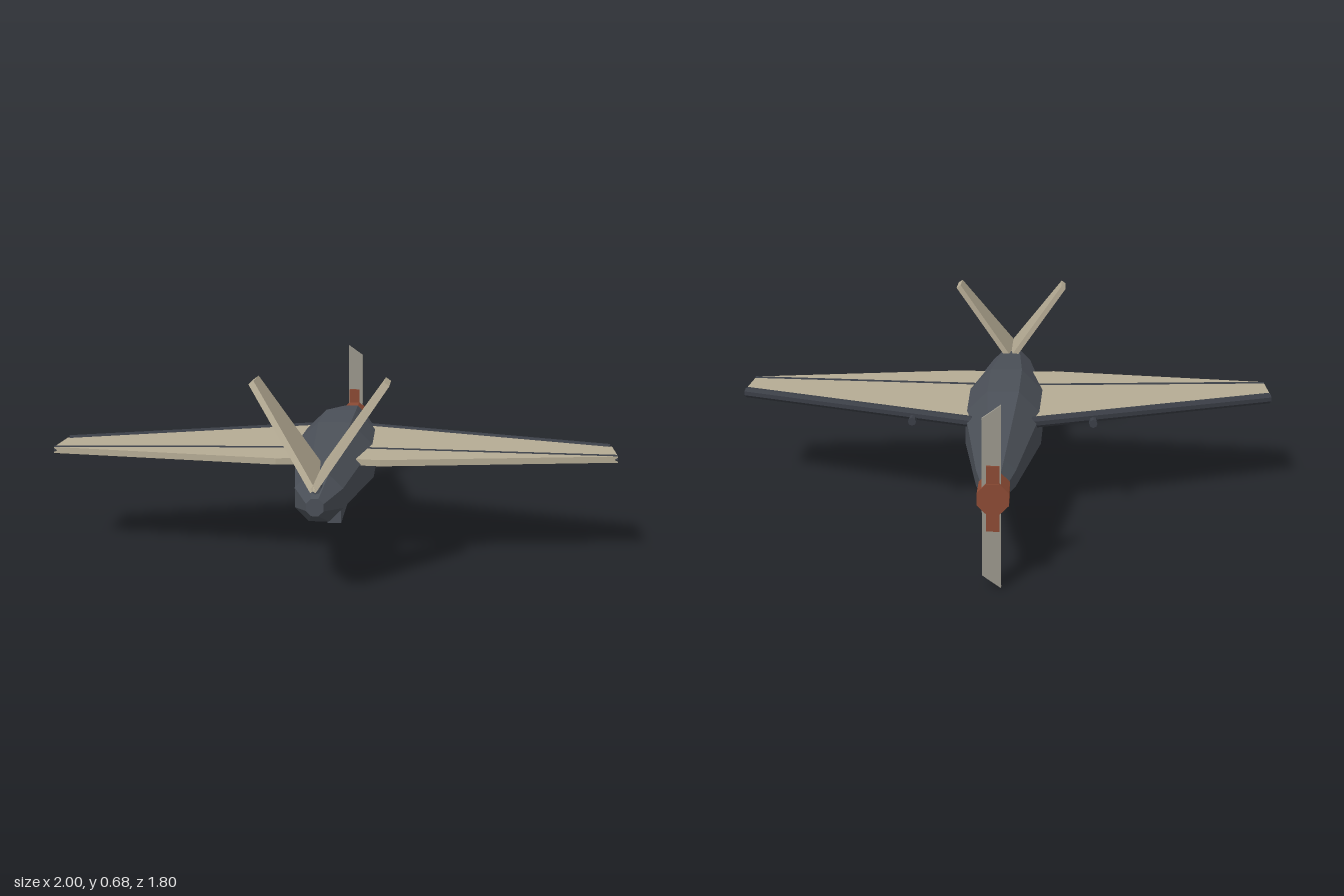
import * as THREE from 'three';

const AXIS_Y = 0.302;
const paint = (color) => new THREE.MeshStandardMaterial({ color, flatShading: true });

export function createModel() {
  const model = new THREE.Group();
  const dark = paint(0x4b5058), black = paint(0x3a3e46), tan = paint(0xb5ab94);
  const rust = paint(0x8b4a34), grey = paint(0x9a978c);

  const add = (name, geometry, material, x = 0, y = 0, z = 0) => {
    const mesh = new THREE.Mesh(geometry, material);
    mesh.name = name;
    mesh.position.set(x, y, z);
    model.add(mesh);
    return mesh;
  };

  const box = (name, w, h, d, material, x, y, z) =>
    add(name, new THREE.BoxGeometry(w, h, d), material, x, y, z);

  // Flat plate cut from an outline, centred on its thickness
  const plate = (points, depth) => {
    const shape = new THREE.Shape(points.map(([a, b]) => new THREE.Vector2(a, b)));
    return new THREE.ExtrudeGeometry(shape, { depth, bevelEnabled: false }).translate(0, 0, -depth / 2);
  };

  // Straight eight-sided rod between two points
  const rod = (name, from, to, radius, material) => {
    const a = new THREE.Vector3(...from), b = new THREE.Vector3(...to);
    const dir = b.clone().sub(a);
    const mesh = add(name, new THREE.CylinderGeometry(radius, radius, dir.length(), 8), material);
    mesh.position.copy(a).add(b).multiplyScalar(0.5);
    mesh.quaternion.setFromUnitVectors(new THREE.Vector3(0, 1, 0), dir.normalize());
    return mesh;
  };

  // Eight-sided body along z with flat top; stations are [half height, z]
  const octagonBody = (stations) => {
    const points = stations.map(([r, z]) => new THREE.Vector2(r / Math.cos(Math.PI / 8), z));
    return new THREE.LatheGeometry(points, 8, Math.PI / 8).rotateX(Math.PI / 2);
  };

  // Fuselage, belly pod and tail boom
  add('fuselage', octagonBody([
    [0, -0.82], [0.04, -0.82], [0.065, -0.7], [0.138, -0.16],
    [0.143, 0.13], [0.078, 0.71], [0.028, 0.84], [0, 0.84],
  ]), dark, 0, AXIS_Y, 0);
  box('bellyPod', 0.05, 0.13, 0.29, dark, 0, 0.135, -0.005);
  rod('tailBoom', [0, 0.357, 0.54], [0, 0.357, 0.82], 0.018, dark);

  // Spinner and propeller
  add('spinner', octagonBody([[0, -0.9], [0.05, -0.9], [0.05, -0.795], [0, -0.795]]), rust, 0, AXIS_Y, 0);
  box('propellerRoot', 0.042, 0.215, 0.028, rust, 0, AXIS_Y, -0.884);
  add('propeller', plate([[-0.025, 0], [0.035, 0.043], [0.035, 0.56], [-0.025, 0.603]], 0.012),
    grey, 0, 0, -0.885);

  for (const s of [1, -1]) {
    const side = s > 0 ? 'left' : 'right';

    // Wing outline is drawn as x, -z and laid flat
    const wing = plate([
      [0, 0.295], [s, -0.1], [s, -0.28], [s * 0.18, -0.41], [0, -0.385],
    ], 0.022).rotateX(-Math.PI / 2);
    add(side + 'Wing', wing, tan, 0, 0.355, 0);
    rod(side + 'LeadingEdge', [s * 0.09, 0.354, -0.26], [s * 0.995, 0.354, 0.095], 0.02, black);
    rod(side + 'Spar', [s * 0.09, 0.355, 0.204], [s, 0.355, 0.268], 0.015, black);
    rod(side + 'Gun', [s * 0.325, 0.342, -0.225], [s * 0.325, 0.342, 0.04], 0.015, black);

    // V-tail fin: outline is z, height along the fin
    const fin = plate([[0.575, 0], [0.897, 0], [0.71, 0.375], [0.592, 0.375]], 0.02)
      .rotateY(-Math.PI / 2)
      .rotateZ(-s * 0.614);
    add(side + 'TailFin', fin, tan, 0, 0.367, 0);
  }

  return model;
}
